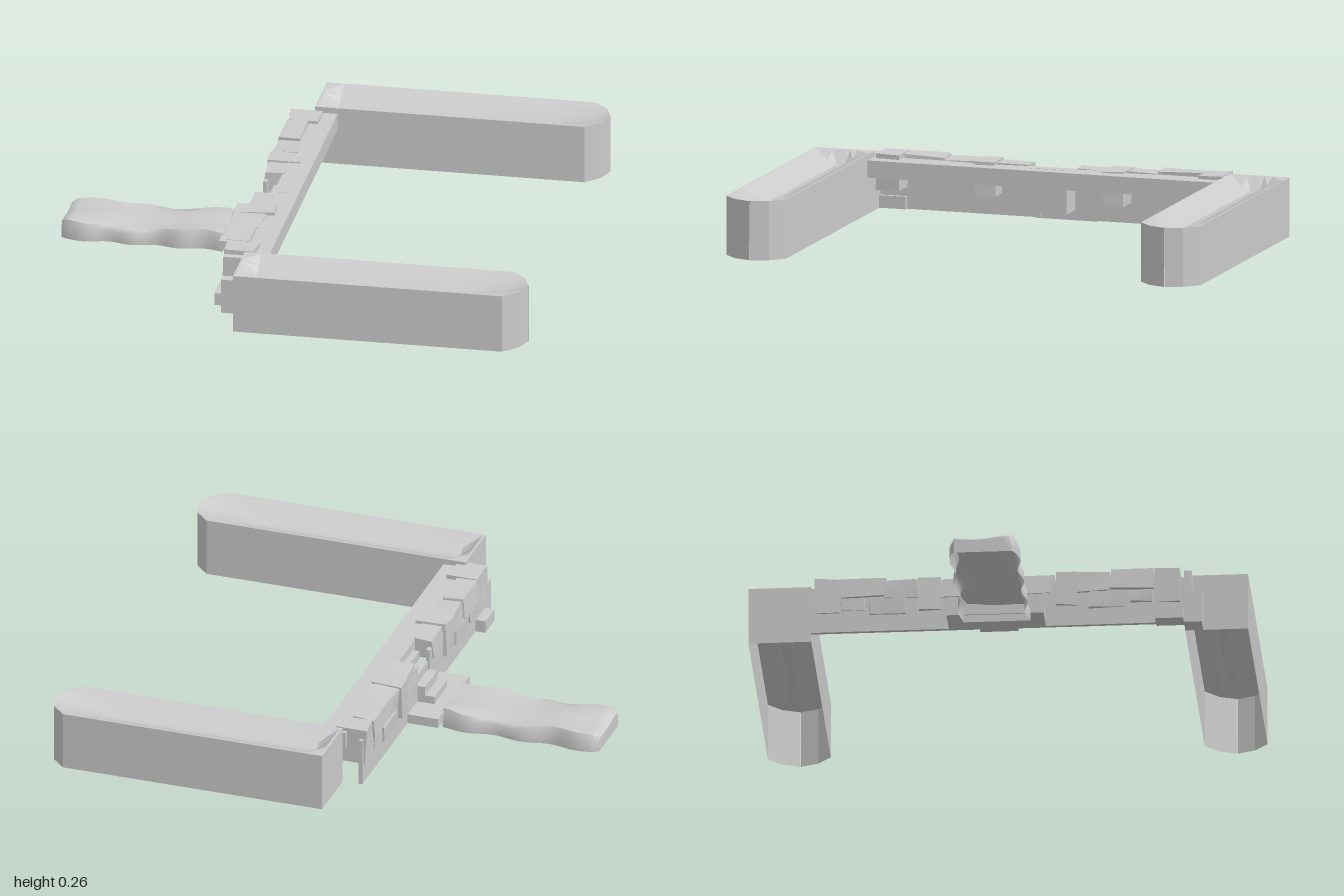
import * as THREE from 'three';
import { toCreasedNormals } from 'three/addons/utils/BufferGeometryUtils.js';

const material = new THREE.MeshStandardMaterial({ color: 0xcccccc, side: THREE.DoubleSide });

function add(parent, name, geometry) {
  const mesh = new THREE.Mesh(geometry, material);
  mesh.name = name;
  parent.add(mesh);
  return mesh;
}

// Skin over rows of points; every row has the same number of points
function loft(rows, crease = 0.5) {
  const n = rows[0].length, index = [];
  for (let r = 0; r < rows.length - 1; r++) {
    for (let c = 0; c < n - 1; c++) {
      const a = r * n + c, b = a + 1, d = a + n, e = d + 1;
      index.push(a, b, d, b, e, d);
    }
  }
  const g = new THREE.BufferGeometry();
  g.setAttribute('position', new THREE.Float32BufferAttribute(rows.flat(2), 3));
  g.setIndex(index);
  return toCreasedNormals(g, crease);
}

// Box given by its limits on each axis
function block(parent, name, x0, x1, y0, y1, z0, z1, rough = 0) {
  const g = new THREE.BoxGeometry(x1 - x0, y1 - y0, z1 - z0);
  g.translate((x0 + x1) / 2, (y0 + y1) / 2, (z0 + z1) / 2);
  if (rough) {
    // Shift corners by their position so that shared corners stay together
    const p = g.attributes.position;
    for (let i = 0; i < p.count; i++) {
      const x = p.getX(i), y = p.getY(i), z = p.getZ(i);
      const k = x * 91 + y * 57 + z * 37;
      p.setXYZ(i, x + rough * Math.sin(k), y + rough * 0.7 * Math.sin(k * 1.7), z + rough * Math.sin(k * 2.3));
    }
    g.computeVertexNormals();
  }
  return add(parent, name, g);
}

// Long hollow arm with a sunken top and a pointed round end
function arm(parent, name, zMid) {
  const bottom = 0.03, top = 0.265;
  const profile = [[-1, 0], [-0.96, 0], [-0.44, 0.025], [-0.2, 0.045], [0.1, 0.05], [0.4, 0.035], [0.96, 0], [1, 0]];
  const stations = [[-0.15, 0.123, 0], [-0.14, 0.123, 0], [-0.08, 0.123, 1], [0.72, 0.123, 1],
    [0.92, 0.123, 0.45], [0.975, 0.07, 0.2], [1, 0.001, 0]];
  const rows = stations.map(([x, w, depth]) => [
    [x, bottom, zMid - w],
    ...profile.map(([f, d]) => [x, top - d * depth, zMid + f * w]),
    [x, bottom, zMid + w]
  ]);
  rows.unshift(rows[0].map(([x, , z]) => [x, bottom, z])); // flat end
  add(parent, name, loft(rows, 0.3));
}

// Uneven path slab, open below
function path(parent) {
  const rows = [], steps = 32;
  for (let i = 0; i <= steps; i++) {
    const x = -0.995 + 0.645 * i / steps;
    const taper = i === 0 ? 0.92 : 1;
    const lo = -(0.13 + 0.009 * Math.sin(x * 27 + 1)) * taper;
    const hi = (0.13 + 0.009 * Math.sin(x * 33)) * taper;
    const row = [[x, 0, lo], [x, 0.045, lo]];
    for (let j = 0; j <= 6; j++) {
      const z = THREE.MathUtils.lerp(lo + 0.012, hi - 0.012, j / 6);
      const y = 0.068 + 0.007 * Math.sin(x * 13 + 0.6 + z * 7) + 0.004 * Math.cos(z * 30 + x * 9);
      row.push([x, i === 0 ? y - 0.012 : y, z]);
    }
    row.push([x, 0.045, hi], [x, 0, hi]);
    rows.push(row);
  }
  rows.unshift(rows[0].map(([x, , z]) => [x, 0, z]));
  rows.push(rows.at(-1).map(([x, , z]) => [x, 0, z]));
  add(parent, 'path', loft(rows, 0.9));
}

export function createModel() {
  const group = new THREE.Group();
  group.name = 'walledCourt';

  arm(group, 'leftArm', 0.852);
  arm(group, 'rightArm', -0.857);
  path(group);

  // Cross wall: thin face, with a walkway slab behind its top
  const wall = new THREE.Group();
  wall.name = 'crossWall';
  group.add(wall);
  block(wall, 'walkway', -0.16, -0.06, 0.175, 0.243, -0.73, 0.73);

  for (const s of [-1, 1]) {
    const span = (a, b) => (s > 0 ? [a, b] : [-b, -a]);
    block(wall, 'wallFace', -0.23, -0.215, 0.03, 0.22, ...span(0.07, 0.73));
    // Coping stones, with larger quoins reaching down the face
    const stones = [
      [-0.232, -0.15, 0.17, 0.245, 0.1, 0.22],
      [-0.243, -0.115, 0.115, 0.252, 0.225, 0.31],
      [-0.238, -0.145, 0.17, 0.248, 0.315, 0.435],
      [-0.243, -0.15, 0.175, 0.257, 0.44, 0.615],
      [-0.237, -0.115, 0.115, 0.257, 0.62, 0.71]
    ];
    for (const [x0, x1, y0, y1, a, b] of stones) {
      block(wall, 'copingStone', x0, x1, y0, y1, ...span(a, b), 0.006);
    }
    // Stones standing proud of the lower face
    block(wall, 'faceStone', -0.242, -0.22, 0.1, 0.168, ...span(0.36, 0.5), 0.004);
    block(wall, 'faceStone', -0.24, -0.22, 0.12, 0.172, ...span(0.52, 0.61), 0.004);
  }

  // Loose corner blocks
  block(wall, 'cornerBlock', -0.27, -0.2, 0.03, 0.08, 0.62, 0.73);
  block(wall, 'endBlock', -0.23, -0.15, 0.03, 0.17, 0.73, 0.8);
  block(wall, 'endBlock', -0.23, -0.15, 0.17, 0.25, 0.73, 0.76);

  // Landing and stairs up to the walkway
  const stairs = new THREE.Group();
  stairs.name = 'stairs';
  group.add(stairs);
  block(stairs, 'landing', -0.355, -0.23, 0.03, 0.068, -0.19, 0.19);
  for (let i = 0; i < 5; i++) {
    const x = -0.3 + i * 0.038;
    block(stairs, 'step', x, x + 0.038, 0.068, 0.1 + i * 0.036, -0.075, 0.075);
  }
  return group;
}
